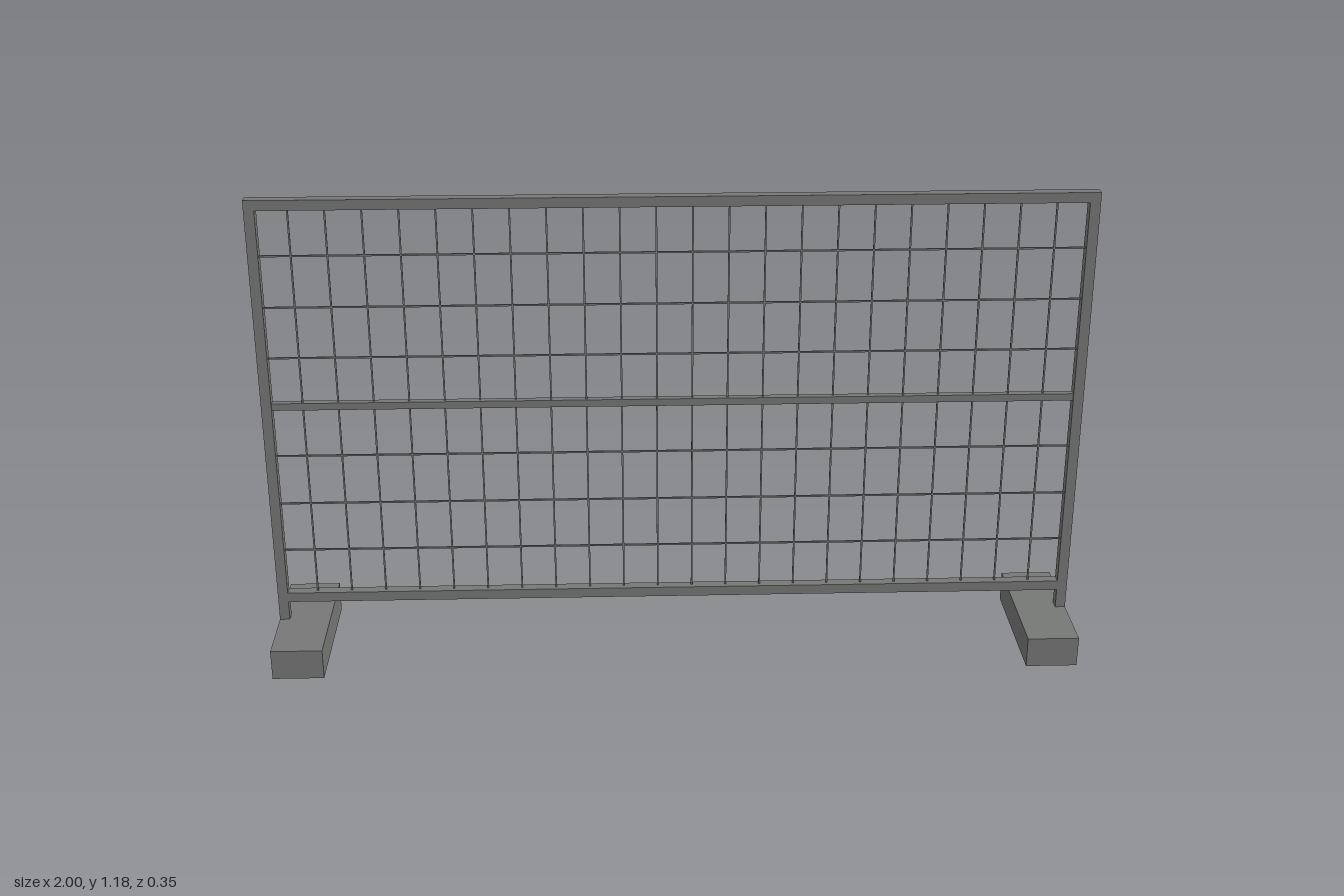
import * as THREE from 'three';

export function createModel() {
  const group = new THREE.Group();
  const steel = new THREE.MeshStandardMaterial({ color: 0x767876 });
  steel.name = 'grey steel';
  steel.side = THREE.DoubleSide;

  const add = (name, geometry, x, y, z = 0) => {
    const mesh = new THREE.Mesh(geometry, steel);
    mesh.name = name;
    mesh.position.set(x, y, z);
    group.add(mesh);
  };
  const box = (name, w, h, d, x, y) => add(name, new THREE.BoxGeometry(w, h, d), x, y);

  // Box shell without its underside
  const openBox = (w, h, d) => {
    const g = new THREE.BoxGeometry(w, h, d);
    const index = Array.from(g.index.array);
    index.splice(18, 6);
    g.setIndex(index);
    g.clearGroups();
    return g;
  };

  const tube = 0.025;
  const depth = 0.027;
  const inner = 2 - 2 * tube;

  // Posts and hollow feet
  for (const [side, s] of [['left', 1], ['right', -1]]) {
    box(side + 'Post', tube, 1.1, depth, s * (1 - tube / 2), 0.627);
    add(side + 'Foot', openBox(0.127, 0.077, 0.353), s * 0.9365, 0.0385);
  }

  // Horizontal rails
  box('topRail', inner, tube, depth, 0, 1.1645);
  box('middleRail', inner, 0.018, 0.018, 0, 0.657);
  box('bottomRail', inner, tube, depth, 0, 0.139);

  // Mesh infill
  const wire = 0.004;
  for (let i = 0; i < 22; i++) {
    box('verticalWire', wire, 1.001, wire, -0.901 + i * 0.0858, 0.652);
  }
  for (let i = 0; i < 7; i++) {
    if (i !== 3) box('horizontalWire', inner, wire, wire, 0, 0.267 + i * 0.1284);
  }
  return group;
}
